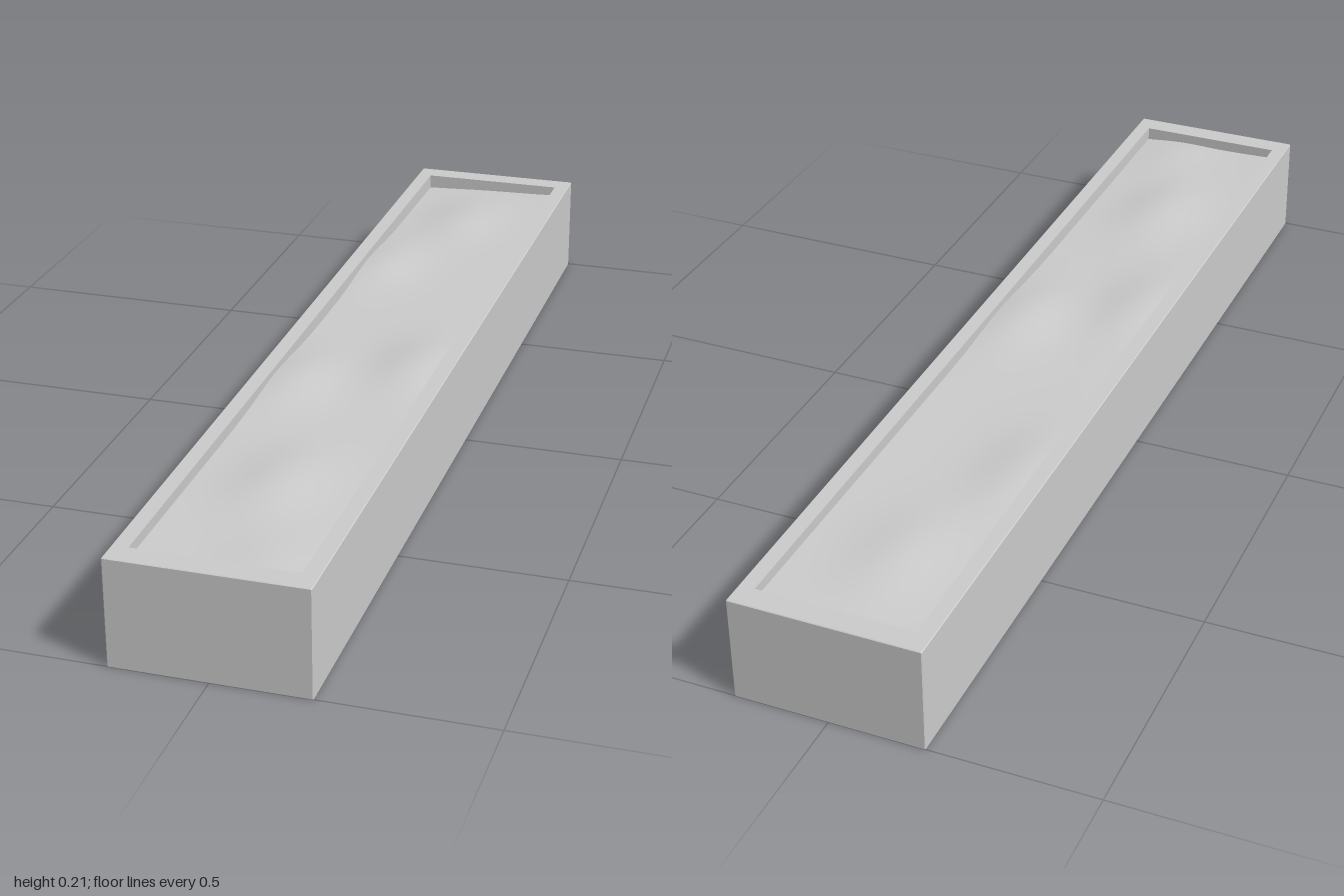
import * as THREE from 'three';

const W = 0.1815, L = 1, H = 0.207;    // outer half width, half length, height
const IW = 0.151, IL = 0.954;          // trough half width, half length
const FLOOR = 0.051, BEVEL = 0.0015;

const material = new THREE.MeshStandardMaterial({ color: 0xcccccc, side: THREE.DoubleSide });
const flatMaterial = material.clone();
flatMaterial.flatShading = true;

// Rectangle with small chamfered corners at height y
function ring(hw, hl, y, c = BEVEL) {
  return [
    [hw, hl - c], [hw, c - hl], [hw - c, -hl], [c - hw, -hl],
    [-hw, c - hl], [-hw, hl - c], [c - hw, hl], [hw - c, hl],
  ].map(([x, z]) => [x, y, z]);
}

// Skin a series of equal-length closed rings
function loft(rings) {
  const n = rings[0].length, index = [];
  for (let r = 0; r < rings.length - 1; r++) {
    for (let i = 0; i < n; i++) {
      const a = r * n + i, b = r * n + (i + 1) % n;
      index.push(a, b, b + n, a, b + n, a + n);
    }
  }
  const geometry = new THREE.BufferGeometry();
  geometry.setAttribute('position', new THREE.Float32BufferAttribute(rings.flat(2), 3));
  geometry.setIndex(index);
  const faceted = geometry.toNonIndexed();
  faceted.computeVertexNormals();
  return faceted;
}

// Soft mounds in the soil: x, z, height
const MOUNDS = [
  [0.10, 0.08, 0.016], [-0.11, 0.20, 0.015], [-0.12, -0.43, 0.015],
  [-0.02, -0.74, 0.012], [0.00, 0.62, 0.014], [0.07, 0.90, 0.007],
];

// Depth of the soil below the rim: a slight twist across the bed, less the mounds
function soilDepth(x, z) {
  let depth = 0.025 + 0.005 * (x / IW) * (z / IL);
  for (const [mx, mz, h] of MOUNDS) {
    depth -= h * Math.exp(-(((x - mx) / 0.08) ** 2) - ((z - mz) / 0.14) ** 2);
  }
  return depth;
}

export function createModel() {
  const group = new THREE.Group();
  const add = (name, geometry, mat) => {
    const mesh = new THREE.Mesh(geometry, mat);
    mesh.name = name;
    group.add(mesh);
    return mesh;
  };

  // Outer walls, flat rim and the trough sunk into it
  add('planterBox', loft([
    ring(W, L, 0), ring(W, L, H - BEVEL), ring(W - BEVEL, L - BEVEL, H),
    ring(IW, IL, H, 0), ring(IW, IL, FLOOR, 0),
  ]), flatMaterial);

  // Trough floor, seen from the open underside
  const floor = new THREE.PlaneGeometry(2 * IW, 2 * IL);
  floor.rotateX(Math.PI / 2);
  add('troughFloor', floor, flatMaterial).position.y = FLOOR;

  // Uneven soil surface
  const soil = new THREE.PlaneGeometry(2 * IW, 2 * IL, 16, 80);
  soil.rotateX(-Math.PI / 2);
  const p = soil.attributes.position;
  for (let i = 0; i < p.count; i++) p.setY(i, H - soilDepth(p.getX(i), p.getZ(i)));
  soil.computeVertexNormals();
  add('soil', soil, material);

  return group;
}
